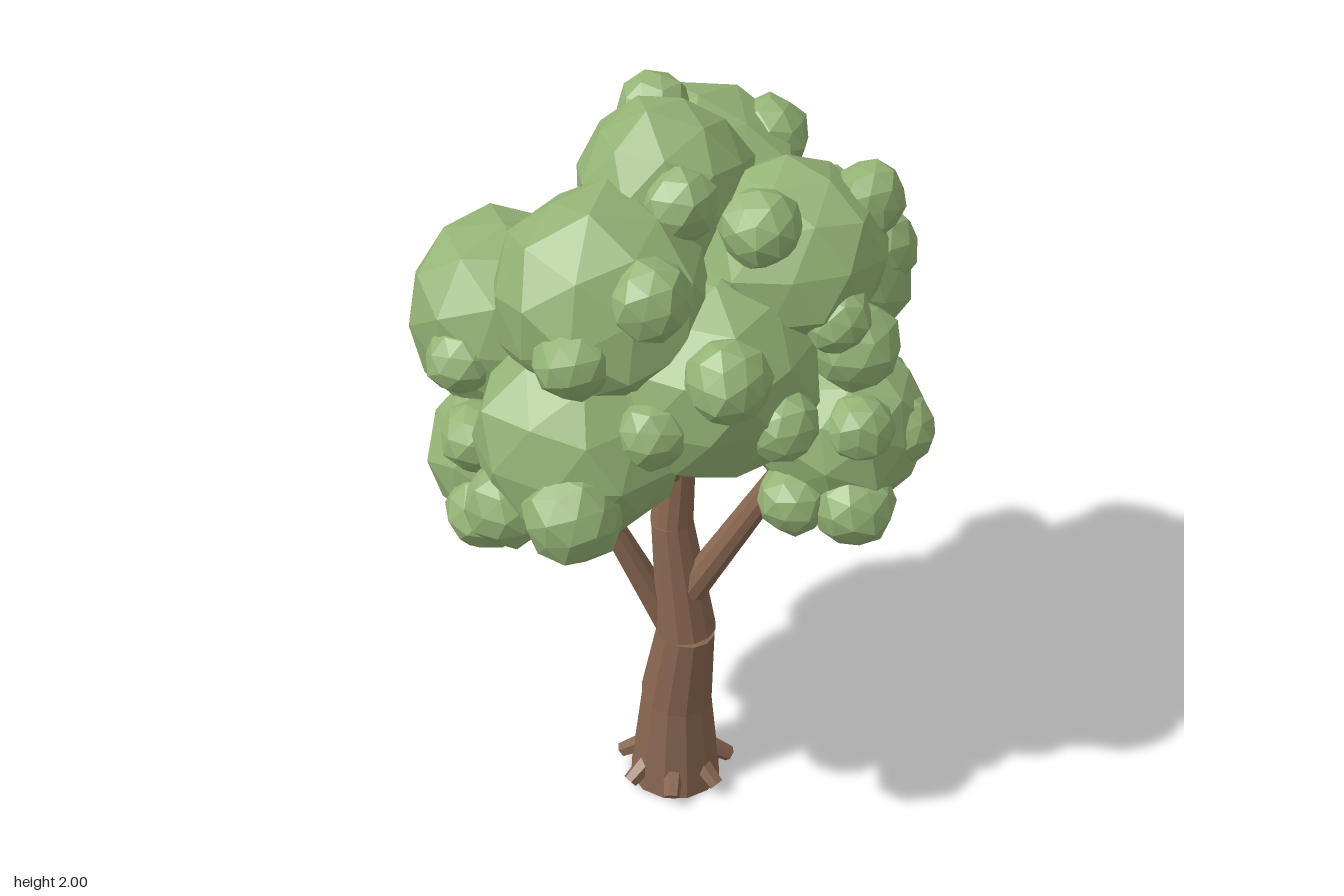
import * as THREE from 'three';

const bark = new THREE.MeshStandardMaterial({ color: 0x886650, flatShading: true });
const leaf = new THREE.MeshStandardMaterial({ color: 0x94b375, flatShading: true });
const goldLeaf = new THREE.MeshStandardMaterial({ color: 0xbfa660, flatShading: true });
bark.name = 'bark brown';
leaf.name = 'leaf green';
goldLeaf.name = 'autumn gold';

// repeatable noise in -1..1
function noise(a, b, c) {
  const s = Math.sin(a * 127.1 + b * 311.7 + c * 74.7) * 43758.5453;
  return (s - Math.floor(s)) * 2 - 1;
}

// faceted ball of leaves with a slightly uneven surface
function clump(name, [x, y, z, r], material, seed) {
  const geo = new THREE.IcosahedronGeometry(1, 1);
  const p = geo.attributes.position;
  const v = new THREE.Vector3();
  for (let i = 0; i < p.count; i++) {
    v.fromBufferAttribute(p, i);
    const k = [v.x, v.y, v.z].map((n) => Math.round(n * 100) / 100 + 0);
    v.multiplyScalar(1 + 0.06 * noise(k[0] + seed, k[1], k[2]));
    p.setXYZ(i, v.x, v.y, v.z);
  }
  geo.rotateX(seed * 1.3);
  geo.rotateY(seed * 2.1);
  geo.computeVertexNormals();
  const mesh = new THREE.Mesh(geo, material);
  mesh.name = name;
  mesh.position.set(x, y, z);
  mesh.scale.setScalar(r);
  return mesh;
}

// tapered wooden section between two points
function limb(name, from, to, r0, r1, sides) {
  const a = new THREE.Vector3(...from);
  const b = new THREE.Vector3(...to);
  const mesh = new THREE.Mesh(new THREE.CylinderGeometry(r1, r0, a.distanceTo(b), sides), bark);
  mesh.name = name;
  mesh.position.copy(a).lerp(b, 0.5);
  mesh.quaternion.setFromUnitVectors(new THREE.Vector3(0, 1, 0), b.sub(a).normalize());
  return mesh;
}

export function createModel() {
  const tree = new THREE.Group();
  tree.name = 'tree';

  // trunk: stacked sections that bend gently
  const trunk = new THREE.Group();
  trunk.name = 'trunk';
  const path = [
    [0, 0, 0.01, 0.12], [0.003, 0.27, 0.012, 0.094], [0.022, 0.5, 0.035, 0.077],
    [-0.008, 0.83, 0.005, 0.055], [0.03, 1.2, -0.02, 0.036], [0.02, 1.6, -0.02, 0.02],
  ];
  for (let i = 0; i < path.length - 1; i++) {
    const [a, b] = [path[i], path[i + 1]];
    trunk.add(limb('trunkSection', a.slice(0, 3), b.slice(0, 3), a[3], b[3] * 0.97, 12));
  }
  tree.add(trunk);

  // root stubs around the foot
  const roots = new THREE.Group();
  roots.name = 'roots';
  for (let i = 0; i < 7; i++) {
    const t = (i / 7) * Math.PI * 2 + 0.1;
    const [c, s] = [Math.cos(t), Math.sin(t)];
    roots.add(limb('root', [c * 0.09, 0.07, s * 0.09 + 0.01], [c * 0.145, 0.03, s * 0.145 + 0.01], 0.026, 0.021, 6));
  }
  tree.add(roots);

  // branches reaching into the leaf clumps
  const branches = new THREE.Group();
  branches.name = 'branches';
  [
    [[-0.01, 0.5, 0.01], [-0.15, 0.81, -0.03], 0.042, 0.03],
    [[-0.15, 0.81, -0.03], [-0.32, 1.1, -0.07], 0.029, 0.02],
    [[0.03, 0.64, 0.05], [0.28, 1.13, 0.17], 0.042, 0.028],
    [[0, 0.78, 0], [0.05, 1.27, -0.27], 0.042, 0.028],
    [[0, 0.98, 0], [-0.24, 1.25, 0.2], 0.038, 0.025],
    [[0.02, 1.1, -0.01], [0.28, 1.4, -0.05], 0.033, 0.022],
  ].forEach(([a, b, r0, r1]) => branches.add(limb('branch', a, b, r0, r1, 10)));
  tree.add(branches);

  // foliage entries are x, y, z, radius
  const large = [
    [-0.02, 1.785, -0.01, 0.212], [-0.21, 1.62, 0.15, 0.26], [0.235, 1.66, 0.16, 0.222],
    [0.12, 1.66, -0.19, 0.245], [0.08, 1.325, -0.275, 0.238], [-0.36, 1.39, -0.19, 0.243],
    [-0.38, 1.07, -0.07, 0.21], [-0.29, 1.3, 0.22, 0.253], [0.015, 1.43, 0.25, 0.26],
    [0.34, 1.475, -0.06, 0.25], [0.35, 1.19, 0.2, 0.215],
  ];
  const small = [
    // crown
    [-0.01, 1.91, -0.14, 0.09], [-0.03, 1.83, 0.15, 0.09], [0.41, 1.78, 0.16, 0.09],
    [0.13, 1.8, 0.25, 0.095], [0.27, 1.58, -0.36, 0.09], [0.28, 1.77, -0.19, 0.1],
    // upper front
    [-0.15, 1.71, 0.33, 0.1], [-0.32, 1.58, 0.33, 0.095], [0, 1.54, 0.45, 0.1],
    [-0.16, 1.4, 0.4, 0.085], [0.13, 1.39, 0.43, 0.09], [0.29, 1.58, 0.32, 0.085],
    // right side
    [0.49, 1.55, 0, 0.105], [0.36, 1.45, 0.25, 0.11],
    [0.47, 1.21, 0.28, 0.09], [0.35, 1.28, 0.34, 0.085], [0.34, 1.07, 0.36, 0.1],
    [0.21, 1.07, 0.3, 0.09], [0.49, 1.2, 0.08, 0.085],
    // left side
    [-0.35, 1.22, 0.42, 0.115], [-0.47, 1.17, 0.27, 0.105], [-0.5, 1.36, -0.06, 0.09],
    [-0.48, 1.0, 0.06, 0.1], [-0.49, 1.2, 0.04, 0.09], [-0.26, 1.62, -0.06, 0.11],
    // back
    [0.07, 1.39, -0.46, 0.108], [0.2, 1.35, -0.4, 0.08], [-0.22, 1.34, -0.34, 0.095],
  ];
  const gold = [
    [0.12, 1.75, -0.355, 0.09], [0.495, 1.475, -0.19, 0.09],
    [-0.19, 1.01, -0.06, 0.078], [0, 1.225, 0.15, 0.08],
  ];
  const foliage = new THREE.Group();
  foliage.name = 'foliage';
  large.forEach((c, i) => foliage.add(clump('largeLeafClump', c, leaf, i + 1)));
  small.forEach((c, i) => foliage.add(clump('smallLeafClump', c, leaf, i + 20)));
  gold.forEach((c, i) => foliage.add(clump('goldLeafClump', c, goldLeaf, i + 60)));
  tree.add(foliage);
  return tree;
}
